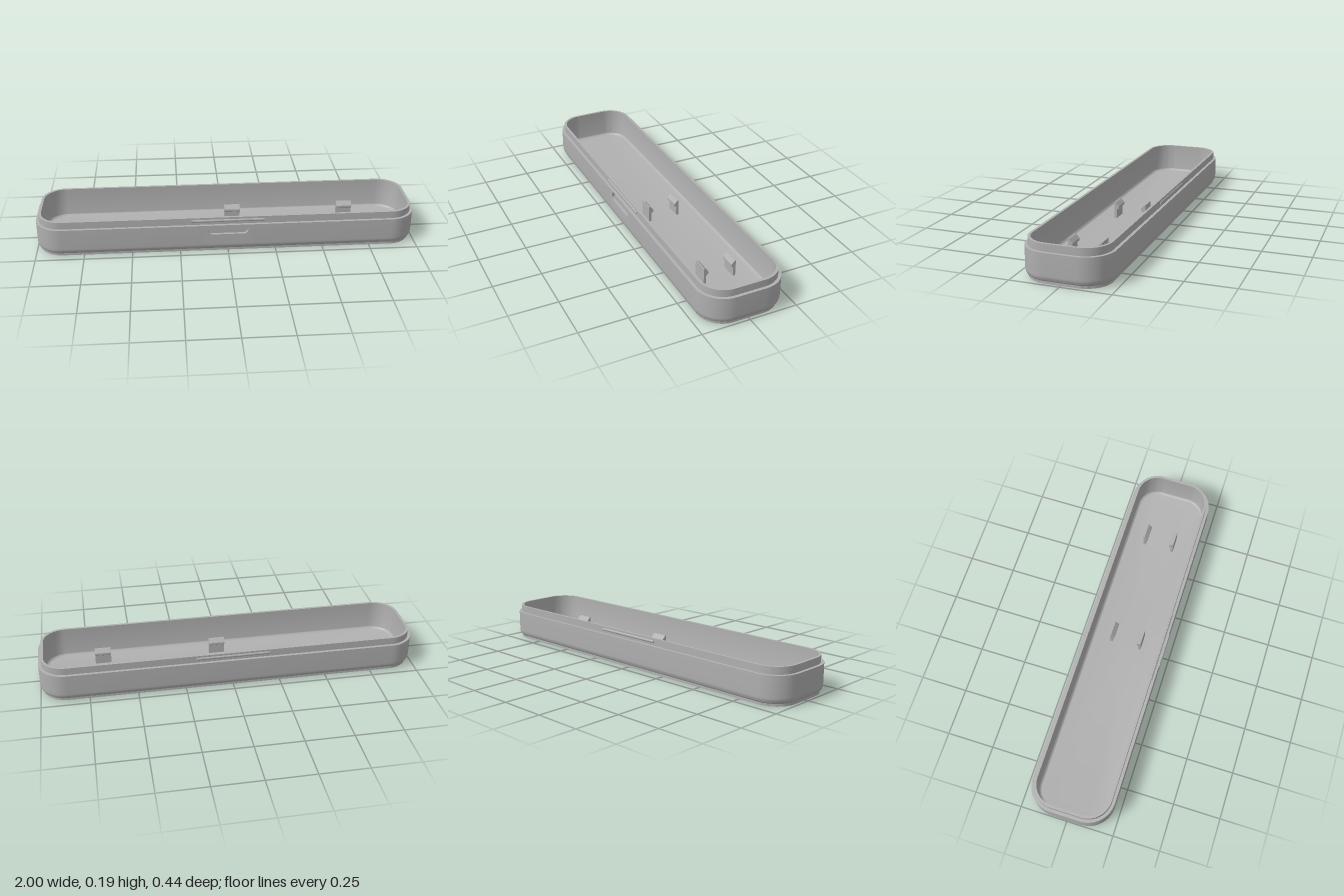
import * as THREE from 'three';
import { toCreasedNormals } from 'three/addons/utils/BufferGeometryUtils.js';

const HX = 1, HZ = 0.219, R = 0.14;      // outer half sizes and corner radius
const STEP = 0.0155;                     // setback of lip and foot
const SHOULDER = 0.153, RIM = 0.191, FLOOR = 0.03;
const PANEL = 0.13, PANEL_Y = 0.045;     // front opening that holds the thumb recess

// Rounded rectangle ring, inset by d; two extra points frame the front opening
function ring(d, y) {
  const pts = [], n = 14, r = R - d;
  [[1, 1], [-1, 1], [-1, -1], [1, -1]].forEach(([sx, sz], q) => {
    for (let i = 0; i <= n; i++) {
      const a = (q + i / n) * Math.PI / 2;
      pts.push([sx * (HX - R) + r * Math.cos(a), y, sz * (HZ - R) + r * Math.sin(a)]);
    }
    if (q === 0) pts.push([PANEL, y, HZ - d], [-PANEL, y, HZ - d]);
  });
  return { pts, gap: n + 1 };
}

function trayGeometry() {
  // Profile of [inset, height], from the foot up, over the rim and down to the floor
  const profile = [[STEP, 0], [STEP, 0.014]];
  const arc = 6;
  for (let i = 1; i <= arc; i++) {
    const a = i / arc * Math.PI / 2;
    profile.push([STEP * (1 - Math.sin(a)), PANEL_Y - 0.031 * Math.cos(a)]);
  }
  const wall = profile.length - 1;
  profile.push([0, SHOULDER], [STEP, SHOULDER], [STEP, RIM], [0.029, RIM]);
  for (let i = 0; i <= arc; i++) {
    const a = i / arc * Math.PI / 2;
    profile.push([0.029 + 0.014 * (1 - Math.cos(a)), FLOOR + 0.016 * (1 - Math.sin(a))]);
  }

  const pos = [], index = [];
  let n = 0, gap = 0;
  profile.forEach(([d, y]) => {
    const r = ring(d, y);
    n = r.pts.length;
    gap = r.gap;
    r.pts.forEach(p => pos.push(...p));
  });
  for (let j = 0; j < profile.length - 1; j++) {
    for (let i = 0; i < n; i++) {
      if (i === gap && (j === wall || j === wall + 1)) continue;
      const a = j * n + i, b = j * n + (i + 1) % n, c = a + n, d = b + n;
      index.push(a, c, b, b, c, d);
    }
  }
  // Underside and inner floor
  const last = (profile.length - 1) * n, under = pos.length / 3;
  pos.push(0, 0, 0, 0, FLOOR, 0);
  for (let i = 0; i < n; i++) {
    const k = (i + 1) % n;
    index.push(under, i, k, under + 1, last + k, last + i);
  }
  const g = new THREE.BufferGeometry();
  g.setAttribute('position', new THREE.Float32BufferAttribute(pos, 3));
  g.setIndex(index);
  return toCreasedNormals(g, 0.6);
}

// Front panel pierced by a stadium-shaped thumb slot
function panelGeometry() {
  const s = new THREE.Shape();
  s.moveTo(-PANEL, PANEL_Y);
  s.lineTo(PANEL, PANEL_Y);
  s.lineTo(PANEL, SHOULDER);
  s.lineTo(-PANEL, SHOULDER);
  s.closePath();
  const r = 0.025, cx = 0.08, cy = 0.126;
  const hole = new THREE.Path();
  hole.absarc(cx, cy, r, -Math.PI / 2, Math.PI / 2, false);
  hole.absarc(-cx, cy, r, Math.PI / 2, Math.PI * 1.5, false);
  hole.closePath();
  s.holes.push(hole);
  const g = new THREE.ExtrudeGeometry(s, { depth: STEP, bevelEnabled: false, curveSegments: 16 });
  return g.translate(0, 0, HZ - STEP);
}

// Snap hook: thin post with a sloped nose pointing to the middle of the tray
function hookGeometry(width) {
  const s = new THREE.Shape([[0, 0.02], [0.013, 0.02], [0.013, 0.078], [0.024, 0.086], [0.024, 0.098], [0.006, 0.118], [0, 0.118]]
    .map(([x, y]) => new THREE.Vector2(x, y)));
  const g = new THREE.ExtrudeGeometry(s, { depth: width, bevelEnabled: false });
  return g.translate(0, 0, -width / 2).rotateY(-Math.PI / 2);
}

export function createModel() {
  const group = new THREE.Group();
  const grey = new THREE.MeshStandardMaterial({ color: 0xb0b0b0 });
  grey.name = 'grey plastic';
  const add = (name, geometry, x = 0, y = 0, z = 0) => {
    const m = new THREE.Mesh(geometry, grey);
    m.name = name;
    m.position.set(x, y, z);
    group.add(m);
    return m;
  };

  add('tray', trayGeometry());
  add('thumbPanel', panelGeometry());
  add('thumbRecess', new THREE.PlaneGeometry(0.24, 0.07), 0, 0.118, HZ - STEP + 0.0005);

  // Snap ridges on the lip and hooks on the floor, front and back
  const ridge = new THREE.CylinderGeometry(0.008, 0.008, 0.38, 20).rotateZ(Math.PI / 2);
  const hook = hookGeometry(0.085);
  for (const side of [1, -1]) {
    add(side > 0 ? 'frontRidge' : 'backRidge', ridge, 0, 0.173, side * 0.2005);
    for (const x of [0.043, 0.663]) {
      const h = add(side > 0 ? 'frontHook' : 'backHook', hook, x, 0, side * 0.087);
      if (side > 0) h.rotation.y = Math.PI;
    }
  }
  return group;
}
